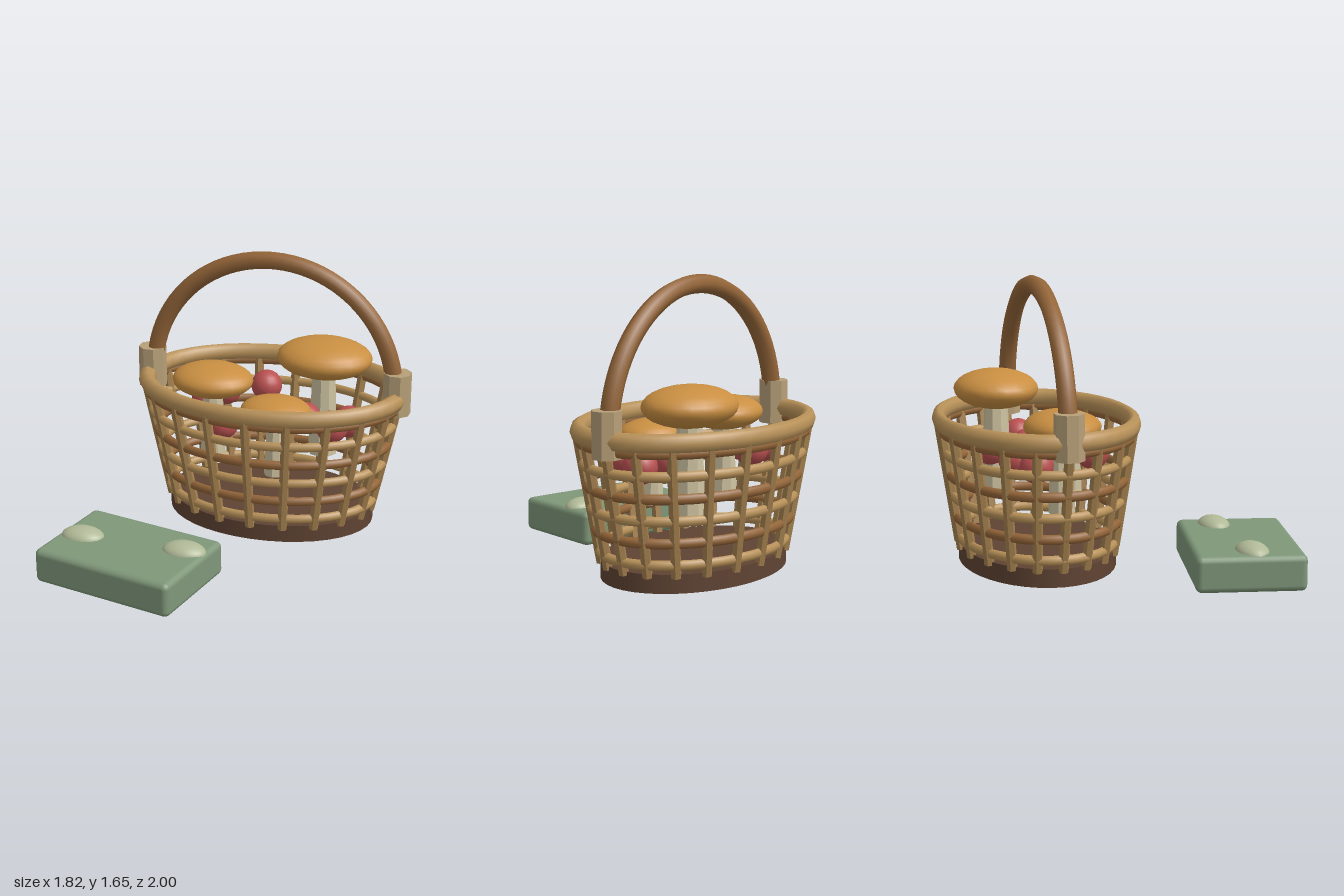
import * as THREE from 'three';
import { RoundedBoxGeometry } from 'three/addons/geometries/RoundedBoxGeometry.js';

const OVAL = 0.705; // depth / width of the basket
const mat = (color, flatShading = false) => new THREE.MeshStandardMaterial({ color, flatShading });
const M = {
  lightCane: mat(0xb99259), darkCane: mat(0x956639), stake: mat(0xa5814f, true),
  base: mat(0x5f4333), socket: mat(0xb7a078, true), cap: mat(0xc98f42),
  stem: mat(0xcdc2a0, true), berry: mat(0xb95050), box: mat(0x7f9779), pebble: mat(0xb0b997),
};

function add(parent, name, geometry, material, x = 0, y = 0, z = 0) {
  const mesh = new THREE.Mesh(geometry, material);
  mesh.name = name;
  mesh.position.set(x, y, z);
  parent.add(mesh);
  return mesh;
}

// Horizontal oval ring
function ring(parent, name, radius, tube, y, material) {
  const geo = new THREE.TorusGeometry(radius, tube, 8, 40).rotateX(Math.PI / 2).scale(1, 1, OVAL);
  return add(parent, name, geo, material, 0, y, 0);
}

// Straight rod between two points
function rod(parent, name, a, b, r, material) {
  const dir = b.clone().sub(a);
  const mesh = add(parent, name, new THREE.CylinderGeometry(r, r, dir.length(), 6), material);
  mesh.position.copy(a).add(b).multiplyScalar(0.5);
  mesh.quaternion.setFromUnitVectors(new THREE.Vector3(0, 1, 0), dir.normalize());
  return mesh;
}

const ellipsoid = (rx, ry, rz) => new THREE.SphereGeometry(1, 24, 14).scale(rx, ry, rz);

function createBasket() {
  const basket = new THREE.Group();
  basket.name = 'basket';
  const wall = (y) => 0.593 + 0.213 * y; // wall radius at a height

  // Solid oval base
  add(basket, 'base', new THREE.CylinderGeometry(0.627, 0.627, 0.103, 40).scale(1, 1, 0.7), M.base, 0, 0.077, 0);

  // Woven rows in alternating cane
  for (let i = 0; i < 6; i++) {
    const y = 0.177 + i * 0.1215;
    ring(basket, 'weaveRow', wall(y), 0.028, y, i % 2 ? M.darkCane : M.lightCane);
  }

  // Upright stakes
  const at = (angle, y) => new THREE.Vector3(Math.cos(angle) * wall(y), y, Math.sin(angle) * wall(y) * OVAL);
  for (let i = 0; i < 20; i++) {
    const angle = (i / 20) * Math.PI * 2;
    rod(basket, 'stake', at(angle, 0.11), at(angle, 0.83), 0.029, M.stake);
  }

  // Rim
  ring(basket, 'rim', 0.762, 0.053, 0.838, M.lightCane);

  // Arched handle and its two sockets
  add(basket, 'handle', new THREE.TorusGeometry(0.735, 0.052, 8, 40, Math.PI), M.darkCane, 0, 0.862, 0);
  for (const side of [-1, 1]) {
    add(basket, 'handleSocket', new THREE.CylinderGeometry(0.083, 0.083, 0.25, 8).rotateY(Math.PI / 8),
      M.socket, side * 0.752, 0.872, 0);
  }
  basket.position.set(0.081, 0, -0.427);
  return basket;
}

function createContents() {
  const contents = new THREE.Group();
  contents.name = 'basketContents';

  // Mushrooms: x, cap height, z, cap radius
  for (const [x, y, z, r] of [
    [0.355, 0.978, -0.595, 0.287],
    [-0.268, 0.85, -0.365, 0.245],
    [0.172, 0.767, -0.196, 0.21],
  ]) {
    const mushroom = new THREE.Group();
    mushroom.name = 'mushroom';
    mushroom.position.set(x, 0, z);
    add(mushroom, 'cap', ellipsoid(r, r * 0.395, r * 0.845), M.cap, 0, y, 0);
    add(mushroom, 'stem', new THREE.CylinderGeometry(r * 0.23, r * 0.31, y - 0.37, 9), M.stem, 0, (y + 0.37) / 2, 0);
    contents.add(mushroom);
  }

  // Berries
  for (const [x, y, z] of [
    [-0.037, 0.71, -0.714], [-0.27, 0.69, -0.625], [-0.36, 0.66, -0.53], [0.49, 0.68, -0.27],
    [-0.138, 0.67, -0.155], [0.555, 0.66, -0.42], [0.29, 0.65, -0.42],
  ]) add(contents, 'berry', new THREE.SphereGeometry(0.095, 18, 12), M.berry, x, y, z);
  return contents;
}

function createBoxWithPebbles() {
  const group = new THREE.Group();
  group.name = 'boxWithPebbles';
  const box = add(group, 'box', new RoundedBoxGeometry(0.868, 0.203, 0.608, 2, 0.035), M.box, -0.435, 0.1015, 0.62);
  box.rotation.y = -0.2;
  for (const x of [-0.728, -0.122]) {
    add(group, 'pebble', ellipsoid(0.127, 0.058, 0.09), M.pebble, x, 0.192, 0.58);
  }
  return group;
}

export function createModel() {
  const model = new THREE.Group();
  model.name = 'basketStillLife';
  model.add(createBasket(), createContents(), createBoxWithPebbles());
  return model;
}
